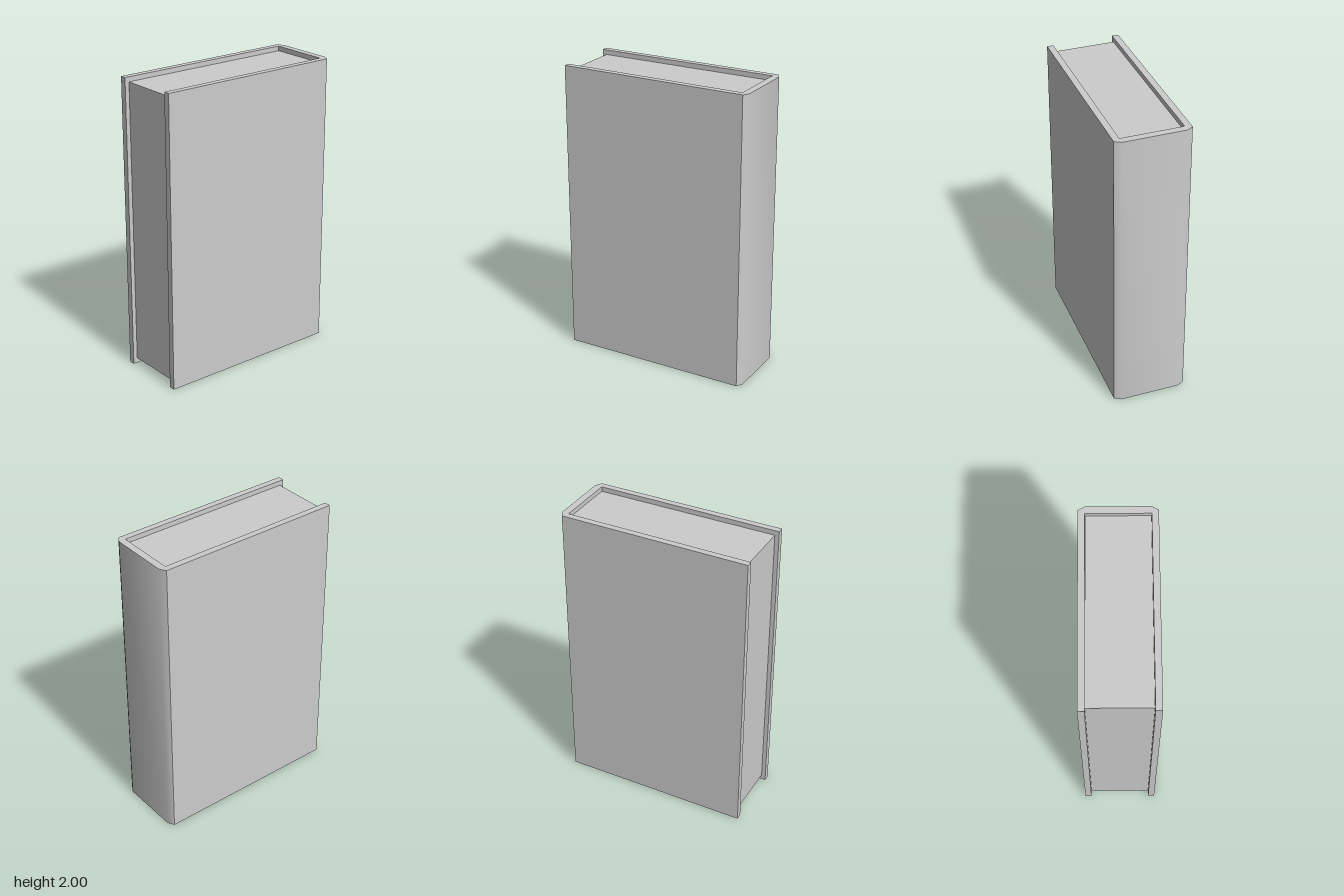
import * as THREE from 'three';
import { toCreasedNormals } from 'three/addons/utils/BufferGeometryUtils.js';

export function createModel() {
  const model = new THREE.Group();
  model.name = 'book';
  const grey = new THREE.MeshStandardMaterial({ color: 0xcccccc });
  grey.name = 'grey';

  const height = 2;
  const outer = 0.248, inner = 0.205; // half widths of the cover
  const end = 0.655;                  // half depth of the cover
  const chamfer = 0.63;               // where the spine corners begin
  const spineInside = 0.607;

  // Cover: U-shaped section with chamfered spine corners, shape y = -z
  const section = new THREE.Shape([
    [-outer, -end], [-inner, -end], [-inner, spineInside], [inner, spineInside],
    [inner, -end], [outer, -end], [outer, chamfer], [inner, end],
    [-inner, end], [-outer, chamfer],
  ].map(([x, y]) => new THREE.Vector2(x, y)));
  const coverGeometry = new THREE.ExtrudeGeometry(section, { depth: height, bevelEnabled: false });
  coverGeometry.rotateX(-Math.PI / 2);
  // The spine shades smoothly into its corners; all other edges stay sharp
  const cover = new THREE.Mesh(toCreasedNormals(coverGeometry, 0.8), grey);
  cover.name = 'cover';
  model.add(cover);

  // Page block, set in from the cover's top, bottom and front edges
  const bottom = 0.035, top = 1.968, front = 0.627;
  const pages = new THREE.Mesh(
    new THREE.BoxGeometry(inner * 2 - 0.002, top - bottom, front + spineInside), grey);
  pages.position.set(0, (top + bottom) / 2, (front - spineInside) / 2);
  pages.name = 'pages';
  model.add(pages);

  return model;
}
